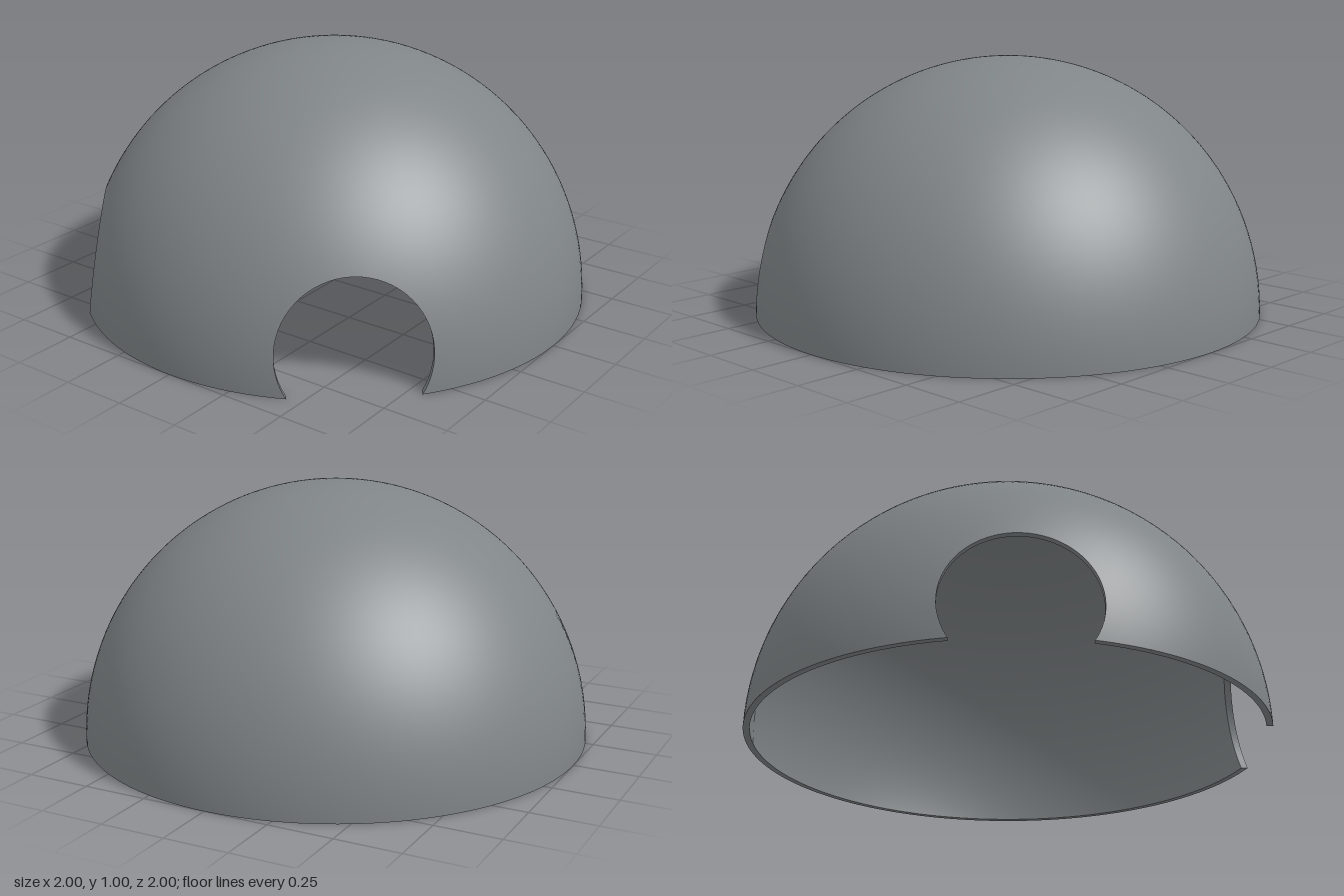
import * as THREE from 'three';
import { mergeGeometries } from 'three/addons/utils/BufferGeometryUtils.js';

const RAD = Math.PI / 180;
const OUTER = 1, INNER = 0.975;          // shell radii
const HOLE_R = 0.277, HOLE_Y = 0.145;    // round openings, cut horizontally
const HOLES = [140, 230];                // azimuths of the openings, degrees from +x towards +z
const HALF = 22.5, TOP = 32;             // window patch around each opening
const SIDE_SEG = 12, TOP_SEG = 18, SEG = SIDE_SEG * 2 + TOP_SEG;
const lerp = THREE.MathUtils.lerp;

// Point on a sphere from azimuth and elevation in degrees
function onSphere(R, az, el) {
  const c = Math.cos(el * RAD);
  return new THREE.Vector3(R * c * Math.cos(az * RAD), R * Math.sin(el * RAD), R * c * Math.sin(az * RAD));
}

// Grid surface from point(u, v); faces towards dv x du unless flipped
function grid(nu, nv, point, flip = false) {
  const pos = [], idx = [];
  for (let j = 0; j <= nv; j++)
    for (let i = 0; i <= nu; i++) pos.push(...point(i / nu, j / nv).toArray());
  for (let j = 0; j < nv; j++)
    for (let i = 0; i < nu; i++) {
      const a = j * (nu + 1) + i, b = a + 1, d = a + nu + 1, c = d + 1;
      if (flip) idx.push(a, b, d, b, c, d);
      else idx.push(a, d, b, b, d, c);
    }
  const g = new THREE.BufferGeometry();
  g.setAttribute('position', new THREE.Float32BufferAttribute(pos, 3));
  g.setIndex(idx);
  g.computeVertexNormals();
  return g;
}

// Opening edge on a sphere of radius R: [azimuth offset, elevation], t from 0 to 1
function holeEdge(R, t) {
  const beta = Math.asin(HOLE_Y / HOLE_R);
  const a = lerp(Math.PI + beta, -beta, t);
  const s = HOLE_R * Math.cos(a);
  const y = t === 0 || t === 1 ? 0 : HOLE_Y + HOLE_R * Math.sin(a);
  return [Math.atan2(s, Math.sqrt(R * R - s * s - y * y)) / RAD, Math.asin(y / R) / RAD];
}

// Border of the window patch: up one side, across the top, down the other
function windowEdge(t) {
  const k = t * SEG;
  if (k <= SIDE_SEG) return [-HALF, TOP * k / SIDE_SEG];
  if (k >= SIDE_SEG + TOP_SEG) return [HALF, TOP * (SEG - k) / SIDE_SEG];
  return [lerp(-HALF, HALF, (k - SIDE_SEG) / TOP_SEG), TOP];
}

// Azimuth spans of the plain wall between the windows
const SPANS = [[HOLES[0] + HALF, HOLES[1] - HALF], [HOLES[1] + HALF, HOLES[0] - HALF + 360]];

// One complete spherical skin with both openings
function skin(R, inside) {
  const parts = [
    grid(144, 28, (u, v) => onSphere(R, HOLES[0] - HALF + u * 360, lerp(TOP, 90, v)), inside),
  ];
  for (const [a, b] of SPANS)
    parts.push(grid(Math.round((b - a) / 2.5), SIDE_SEG,
      (u, v) => onSphere(R, lerp(a, b, u), TOP * v), inside));
  for (const h of HOLES)
    parts.push(grid(SEG, 6, (u, v) => {
      const p = holeEdge(R, u), q = windowEdge(u);
      return onSphere(R, h + lerp(p[0], q[0], v), lerp(p[1], q[1], v));
    }, inside));
  const g = mergeGeometries(parts);
  // Smooth spherical normals across all patches
  const p = g.attributes.position, n = g.attributes.normal, w = new THREE.Vector3();
  for (let i = 0; i < p.count; i++) {
    w.fromBufferAttribute(p, i).normalize().multiplyScalar(inside ? -1 : 1);
    n.setXYZ(i, w.x, w.y, w.z);
  }
  return g;
}

export function createModel() {
  const group = new THREE.Group();
  group.name = 'dome';
  const grey = new THREE.MeshStandardMaterial({ color: 0x808587 });
  grey.name = 'grey';
  const add = (name, geometry) => {
    const mesh = new THREE.Mesh(geometry, grey);
    mesh.name = name;
    group.add(mesh);
  };

  add('outerShell', skin(OUTER, false));
  add('innerShell', skin(INNER, true));

  // Thickness of the shell around each opening
  HOLES.forEach((h, i) => add(i ? 'backOpeningRim' : 'frontOpeningRim', grid(SEG, 1, (u, v) => {
    const R = v ? OUTER : INNER, [az, el] = holeEdge(R, u);
    return onSphere(R, h + az, el);
  })));

  // Flat underside between the openings
  const ends = [[HOLES[0], HOLES[1]], [HOLES[1], HOLES[0] + 360]];
  add('baseRim', mergeGeometries(ends.map(([a, b]) =>
    grid(Math.round((b - a) / 2.5), 1, (u, v) => {
      const R = v ? OUTER : INNER, e = holeEdge(R, 1)[0];
      return onSphere(R, lerp(a + e, b - e, u), 0);
    }))));

  return group;
}
